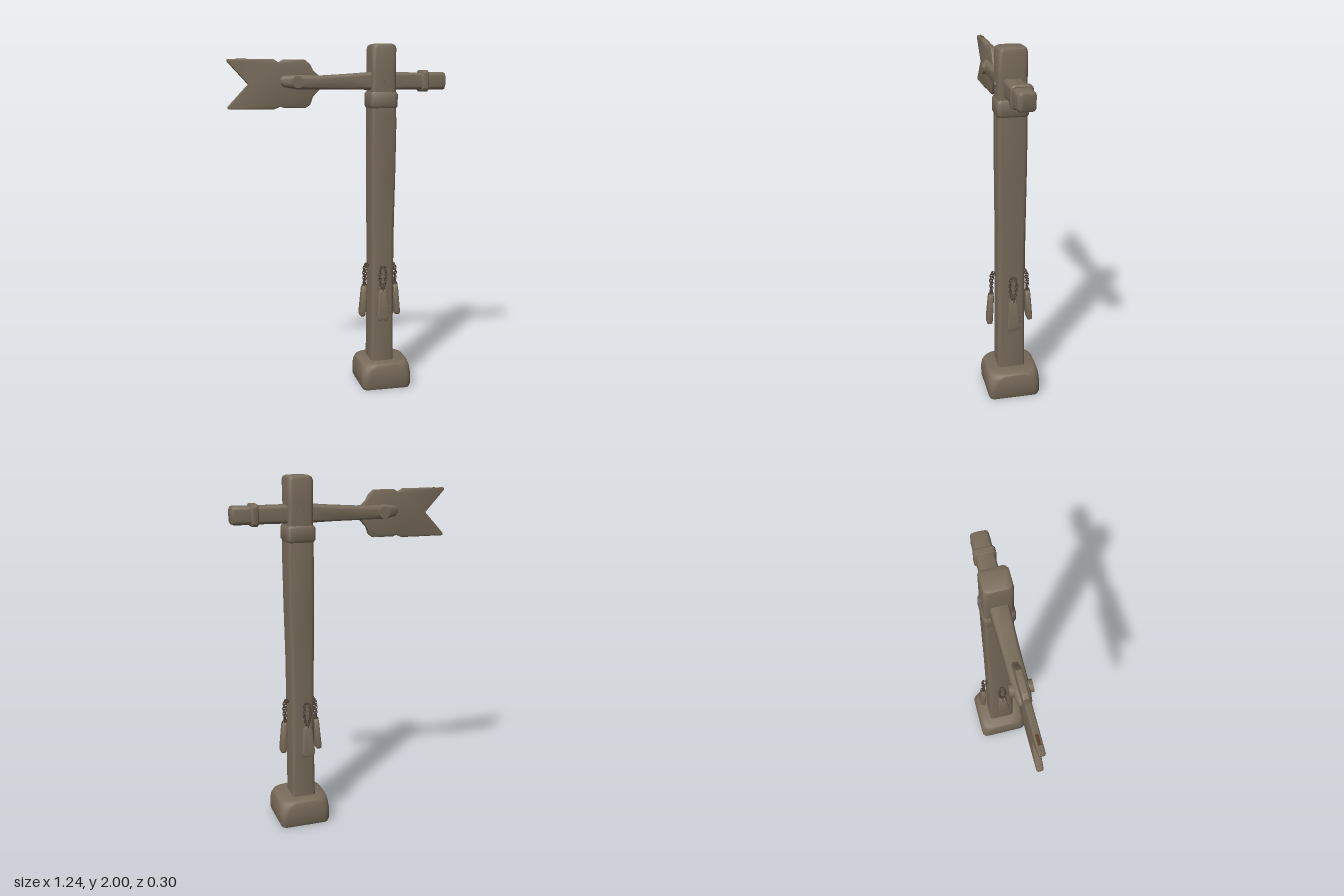
import * as THREE from 'three';
import { toCreasedNormals } from 'three/addons/utils/BufferGeometryUtils.js';

const material = (name, color) => {
  const m = new THREE.MeshStandardMaterial({ color });
  m.name = name;
  return m;
};

// Skin of rounded rectangles along y or x.
// Row: [position, centreA, halfA, centreB, halfB, cornerRadius]
// Along y: A is z and B is x. Along x: A is y and B is z.
function loft(axis, rows) {
  const steps = 4, n = 4 * (steps + 1), pos = [], idx = [];
  const put = (t, a, b) => (axis === 'y' ? pos.push(b, t, a) : pos.push(t, a, b));
  for (const [t, ca, ha, cb, hb, r] of rows) {
    for (let q = 0; q < 4; q++) {
      const sa = q === 0 || q === 3 ? 1 : -1, sb = q < 2 ? 1 : -1;
      for (let k = 0; k <= steps; k++) {
        const g = (q + k / steps) * Math.PI / 2;
        put(t, ca + sa * (ha - r) + r * Math.cos(g), cb + sb * (hb - r) + r * Math.sin(g));
      }
    }
  }
  const last = rows.length - 1;
  for (let j = 0; j < last; j++) {
    for (let i = 0; i < n; i++) {
      const a = j * n + i, b = j * n + (i + 1) % n;
      idx.push(a, b, b + n, a, b + n, a + n);
    }
  }
  for (let i = 1; i < n - 1; i++) {
    idx.push(0, i + 1, i);
    idx.push(last * n, last * n + i, last * n + i + 1);
  }
  const geo = new THREE.BufferGeometry();
  geo.setAttribute('position', new THREE.Float32BufferAttribute(pos, 3));
  geo.setIndex(idx);
  return toCreasedNormals(geo, 0.7);
}

// Bevelled plate centred on z = 0
function plate(points, thickness, bevel) {
  const shape = new THREE.Shape(points.map(([x, y]) => new THREE.Vector2(x, y)));
  const depth = thickness - 2 * bevel;
  const geo = new THREE.ExtrudeGeometry(shape, {
    depth, bevelEnabled: true, bevelSize: bevel, bevelThickness: bevel,
    bevelOffset: -bevel, bevelSegments: 2,
  });
  geo.translate(0, 0, -depth / 2);
  return toCreasedNormals(geo, 0.6);
}

export function createModel() {
  const model = new THREE.Group();
  model.name = 'signpost';
  const wood = material('weathered wood', 0x786b5a);
  const dark = material('dark chain', 0x54463a);
  const brown = material('brown patch', 0x5a3a20);
  const add = (name, geo, mat = wood, parent = model) => {
    const mesh = new THREE.Mesh(geo, mat);
    mesh.name = name;
    parent.add(mesh);
    return mesh;
  };

  // Block foot, rounder towards the top
  add('base', loft('y', [
    [0, 0, 0.143, 0.262, 0.14, 0.03],
    [0.02, 0, 0.15, 0.262, 0.148, 0.035],
    [0.08, 0, 0.152, 0.262, 0.151, 0.045],
    [0.125, 0, 0.149, 0.262, 0.148, 0.065],
    [0.147, 0, 0.143, 0.262, 0.143, 0.085],
    [0.156, 0, 0.128, 0.262, 0.128, 0.09],
  ]));

  // Slightly uneven square post
  add('post', loft('y', [
    [0.1, 0, 0.078, 0.25, 0.067, 0.015],
    [0.4, 0.001, 0.077, 0.25, 0.066, 0.02],
    [0.7, 0.001, 0.078, 0.249, 0.067, 0.028],
    [1.0, 0, 0.077, 0.248, 0.068, 0.022],
    [1.3, 0, 0.079, 0.249, 0.071, 0.02],
    [1.55, 0, 0.08, 0.249, 0.073, 0.02],
    [1.68, 0, 0.078, 0.248, 0.071, 0.02],
  ]));
  add('collar', loft('y', [
    [1.645, 0, 0.079, 0.247, 0.073, 0.02],
    [1.658, 0, 0.086, 0.247, 0.08, 0.022],
    [1.722, 0, 0.086, 0.247, 0.08, 0.022],
    [1.735, 0, 0.079, 0.247, 0.073, 0.02],
  ]));
  add('postHead', loft('y', [
    [1.7, 0, 0.078, 0.247, 0.07, 0.02],
    [1.85, -0.001, 0.078, 0.247, 0.069, 0.022],
    [1.975, -0.001, 0.078, 0.247, 0.071, 0.024],
    [1.993, -0.001, 0.073, 0.247, 0.066, 0.026],
    [2.0, -0.001, 0.06, 0.247, 0.054, 0.026],
  ]));

  // Cross arm, thinning towards the vane
  add('arm', loft('x', [
    [-0.332, 1.795, 0.018, 0, 0.026, 0.016],
    [-0.318, 1.794, 0.032, 0, 0.036, 0.024],
    [-0.25, 1.79, 0.039, 0, 0.043, 0.024],
    [-0.1, 1.788, 0.038, 0, 0.044, 0.02],
    [0.05, 1.792, 0.043, 0, 0.047, 0.018],
    [0.17, 1.795, 0.049, 0, 0.05, 0.018],
    [0.33, 1.795, 0.049, 0, 0.05, 0.018],
    [0.5, 1.795, 0.048, 0, 0.049, 0.018],
    [0.6, 1.795, 0.05, 0, 0.049, 0.02],
    [0.613, 1.795, 0.047, 0, 0.046, 0.02],
    [0.62, 1.795, 0.037, 0, 0.036, 0.02],
  ]));
  add('armBand', loft('x', [
    [0.474, 1.795, 0.053, 0, 0.053, 0.018],
    [0.48, 1.795, 0.06, 0, 0.058, 0.02],
    [0.508, 1.795, 0.06, 0, 0.058, 0.02],
    [0.515, 1.795, 0.053, 0, 0.053, 0.018],
  ]));

  // Forked tail vane
  add('vane', plate([
    [-0.622, 1.642], [-0.365, 1.642], [-0.335, 1.656], [-0.31, 1.648], [-0.19, 1.648],
    [-0.165, 1.665], [-0.148, 1.71], [-0.11, 1.75], [-0.11, 1.82], [-0.148, 1.855],
    [-0.165, 1.888], [-0.195, 1.912], [-0.315, 1.912], [-0.34, 1.897], [-0.37, 1.915],
    [-0.622, 1.915], [-0.622, 1.9], [-0.51, 1.778], [-0.622, 1.658],
  ], 0.036, 0.009));
  add('vanePatch', new THREE.BoxGeometry(0.055, 0.004, 0.016), brown).position.set(-0.545, 1.914, 0);

  // Pegs through the vane joint and through the post head
  const pegs = [[-0.24, 1.79, 0.033, 0.118], [0.25, 1.805, 0.012, 0.172]];
  for (const [x, y, r, length] of pegs) {
    const peg = add('peg', toCreasedNormals(new THREE.CylinderGeometry(r, r, length, 14), 0.7));
    peg.rotation.x = Math.PI / 2;
    peg.position.set(x, y, 0);
  }

  // Hanging tags, one on each face of the post; local +z points away from the post
  const tagShape = plate([
    [-0.014, 0.092], [0.014, 0.092], [0.025, 0.078], [0.038, -0.06], [0.034, -0.082],
    [0.02, -0.092], [-0.02, -0.092], [-0.034, -0.082], [-0.038, -0.06], [-0.025, 0.078],
  ], 0.03, 0.009);
  const link = new THREE.TorusGeometry(0.0085, 0.003, 5, 10);
  link.scale(0.8, 1.3, 1);
  const chainPath = new THREE.CatmullRomCurve3([
    [-0.004, 0.722, -0.004], [-0.012, 0.728, 0.016], [-0.018, 0.69, 0.025],
    [-0.014, 0.64, 0.026], [-0.003, 0.6, 0.026],
  ].map((p) => new THREE.Vector3(...p)));
  const up = new THREE.Vector3(0, 1, 0);

  function hangingTag(name, x, z, turn) {
    const group = new THREE.Group();
    group.name = name;
    group.position.set(x, 0, z);
    group.rotation.y = turn;
    const tag = add('tag', tagShape, wood, group);
    tag.position.set(0, 0.508, 0.034);
    tag.rotation.x = -0.07;
    const ring = add('tagRing', new THREE.TorusGeometry(0.013, 0.004, 6, 12), dark, group);
    ring.position.set(0, 0.598, 0.028);
    ring.rotation.y = Math.PI / 2;
    // Two strands of alternating links
    const count = 10;
    for (const side of [-1, 1]) {
      for (let i = 0; i <= count; i++) {
        const p = chainPath.getPointAt(i / count), d = chainPath.getTangentAt(i / count);
        p.x *= side;
        d.x *= side;
        const piece = add('chainLink', link, dark, group);
        piece.position.copy(p);
        piece.quaternion.setFromUnitVectors(up, d.negate());
        piece.rotateY(i % 2 ? Math.PI / 2 : 0);
      }
    }
    model.add(group);
  }
  hangingTag('frontTag', 0.24, 0.078, 0);
  hangingTag('backTag', 0.235, -0.078, Math.PI);
  hangingTag('leftTag', 0.316, 0, Math.PI / 2);
  hangingTag('rightTag', 0.182, 0, -Math.PI / 2);

  return model;
}
